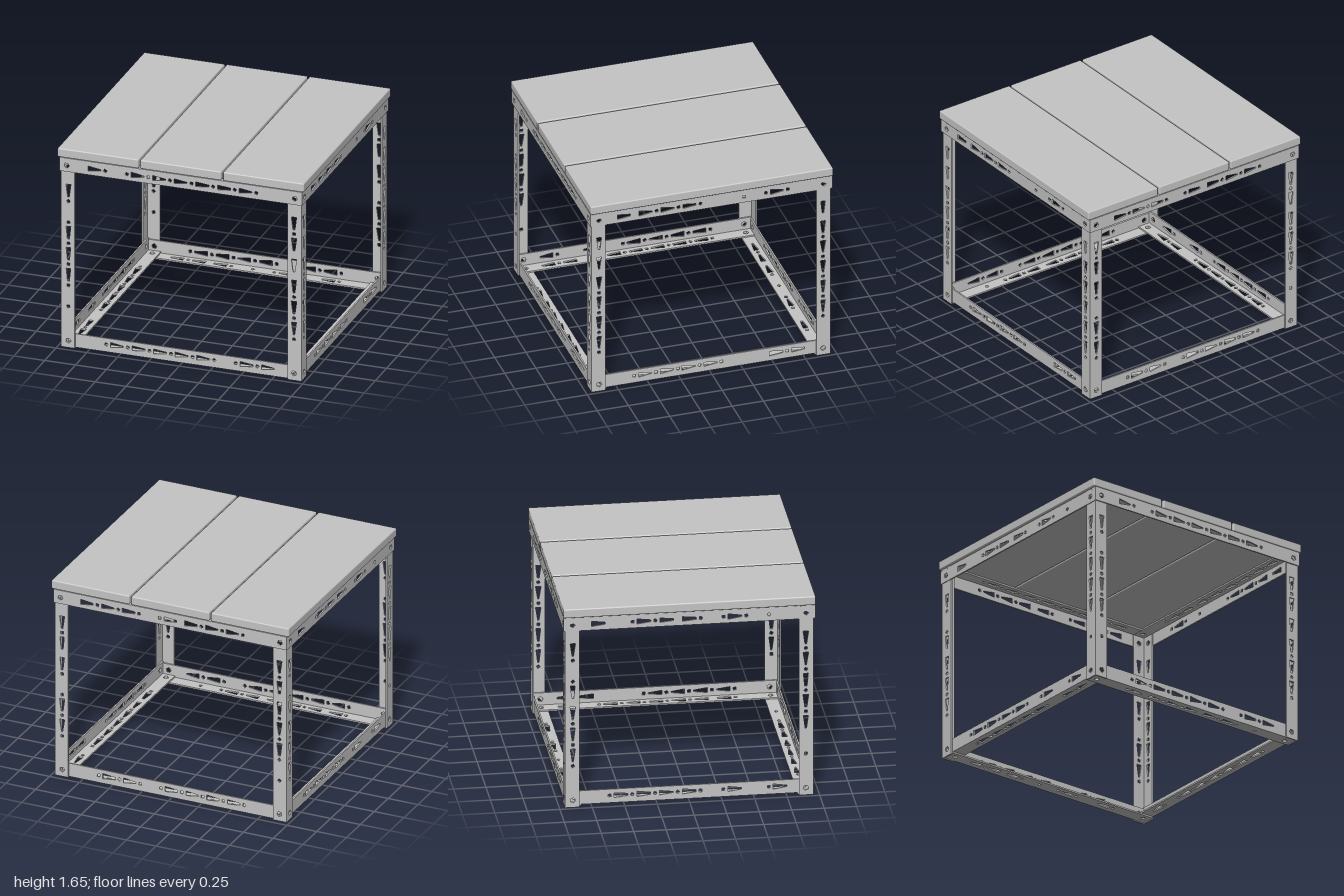
import * as THREE from 'three';
import { RoundedBoxGeometry } from 'three/addons/geometries/RoundedBoxGeometry.js';

const T = 0.012; // sheet thickness
const W = 0.112; // flange width
const PITCH = 0.175; // distance between slots

// Small seeded generator for the irregular punching
function seeded(seed) {
  let s = seed;
  return () => (s = (s * 16807) % 2147483647) / 2147483647;
}

function polygon(points) {
  const path = new THREE.Path();
  points.forEach(([x, y], i) => (i ? path.lineTo(x, y) : path.moveTo(x, y)));
  path.closePath();
  return path;
}

// Regular small hole
function roundHole(x, y, r, sides, turn) {
  const pts = [];
  for (let i = 0; i < sides; i++) {
    const a = turn - (i / sides) * Math.PI * 2;
    pts.push([x + Math.cos(a) * r, y + Math.sin(a) * r]);
  }
  return polygon(pts);
}

// Flat strip along x with tapered slots, small holes and a bolt hole at each end
function flangeGeometry(length, wide, seed) {
  const rnd = seeded(seed);
  const h = length / 2;
  const mid = W * 0.54;
  const shape = new THREE.Shape();
  shape.moveTo(-h, 0);
  shape.lineTo(h, 0);
  shape.lineTo(h, W);
  shape.lineTo(-h, W);
  shape.closePath();
  for (const end of [-1, 1]) shape.holes.push(roundHole(end * (h - 0.058), mid, 0.022, 5, 0.4));

  const n = Math.floor((length / 2 - 0.17) / PITCH);
  for (let i = -n; i <= n; i++) {
    const x = i * PITCH;
    if (rnd() > 0.15) {
      const a = 0.018 + rnd() * 0.005;
      const b = 0.004 + rnd() * 0.006;
      shape.holes.push(polygon([
        [x + wide * 0.053, mid - a], [x + wide * 0.053, mid + a],
        [x - wide * 0.053, mid + b], [x - wide * 0.053, mid - b],
      ]));
    }
    if (i < n && rnd() > 0.2) {
      shape.holes.push(roundHole(x + PITCH / 2, mid, 0.016, 4, rnd()));
    }
  }
  return new THREE.ExtrudeGeometry(shape, { depth: T, bevelEnabled: false });
}

// Angle iron along x: corner at the origin, flanges towards +y and -z
function angleIron(name, length, wide, material, seed) {
  const group = new THREE.Group();
  group.name = name;
  const upright = new THREE.Mesh(flangeGeometry(length, wide, seed), material);
  upright.name = 'uprightFlange';
  upright.position.z = -T;
  const flat = new THREE.Mesh(flangeGeometry(length, wide, seed + 50), material);
  flat.name = 'flatFlange';
  flat.rotation.x = -Math.PI / 2;
  group.add(upright, flat);
  return group;
}

export function createModel() {
  const model = new THREE.Group();
  model.name = 'workTable';
  const steel = new THREE.MeshStandardMaterial({ color: 0xc4c4c4 });
  steel.name = 'greySteel';

  // Three top planks
  const plankGeometry = new RoundedBoxGeometry(0.657, 0.073, 1.94, 2, 0.01);
  for (const i of [-1, 0, 1]) {
    const plank = new THREE.Mesh(plankGeometry, steel);
    plank.name = 'plank';
    plank.position.set(i * 0.6715, 1.6165, 0);
    model.add(plank);
  }

  const sideNames = ['front', 'left', 'back', 'right'];
  for (let k = 0; k < 4; k++) {
    const turn = new THREE.Group();
    turn.name = sideNames[k] + 'Side';
    turn.rotation.y = (k * Math.PI) / 2;
    const along = k % 2; // 0 runs along x, 1 runs along z

    // Bottom rail, inside the legs
    const bottom = angleIron('bottomRail', along ? 1.88 : 1.925, -1, steel, 101 + k * 977);
    bottom.position.set(0, along ? 0.017 : 0.005, along ? 0.963 : 0.945);

    // Top rail, outside the legs, with its flat flange under the planks
    const top = angleIron('topRail', along ? 1.915 : 1.965, 1, steel, 211 + k * 977);
    top.rotation.z = Math.PI;
    top.position.set(0, along ? 1.577 : 1.579, along ? 0.982 : 0.968);

    // Corner leg
    const leg = angleIron('leg', 1.56, 1, steel, 307 + k * 977);
    leg.rotation.z = Math.PI / 2;
    leg.position.set(along ? 0.957 : 0.975, 0.78, along ? 0.975 : 0.957);

    turn.add(bottom, top, leg);
    model.add(turn);
  }
  return model;
}
